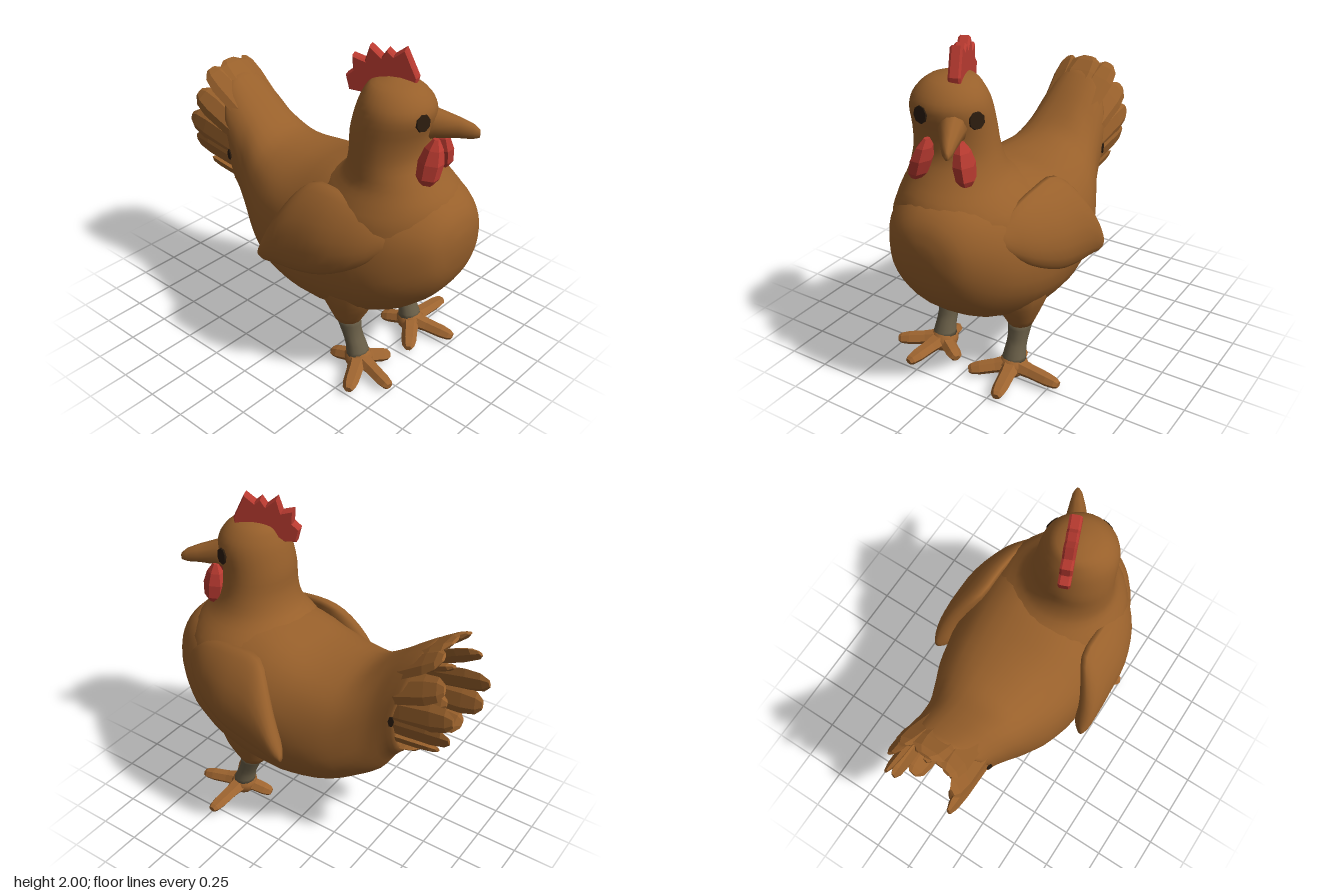
import * as THREE from 'three';

const mat = (name, color) => Object.assign(new THREE.MeshStandardMaterial({ color }), { name });
const V = (x, y, z) => new THREE.Vector3(x, y, z);
const pow = (v, e) => Math.sign(v) * Math.abs(v) ** e;

// Catmull-Rom resampling of a list of number tuples
function smooth(st, steps) {
  const out = [], at = i => st[Math.max(0, Math.min(st.length - 1, i))];
  for (let i = 0; i < st.length - 1; i++) {
    for (let s = 0; s < steps; s++) {
      const t = s / steps;
      out.push(st[i].map((b, k) => {
        const a = at(i - 1)[k], c = at(i + 1)[k], d = at(i + 2)[k];
        return b + 0.5 * t * (c - a + t * (2 * a - 5 * b + 4 * c - d + t * (3 * (b - c) + d - a)));
      }));
    }
  }
  out.push(st[st.length - 1]);
  return out;
}

// Closed skin through rings of points, capped at both ends and wound outwards
function loft(rings, flat = false) {
  const n = rings[0].length, pts = rings.flat(), idx = [];
  for (let r = 0; r < rings.length - 1; r++) {
    for (let i = 0; i < n; i++) {
      const a = r * n + i, b = r * n + (i + 1) % n;
      idx.push(a, b, a + n, b, b + n, a + n);
    }
  }
  [0, rings.length - 1].forEach((r, end) => {
    const c = rings[r].reduce((s, p) => s.add(p), V(0, 0, 0)).divideScalar(n);
    const ci = pts.push(c) - 1;
    for (let i = 0; i < n; i++) {
      const a = r * n + i, b = r * n + (i + 1) % n;
      if (end) idx.push(ci, a, b); else idx.push(ci, b, a);
    }
  });
  let vol = 0;
  for (let i = 0; i < idx.length; i += 3) {
    vol += pts[idx[i]].dot(pts[idx[i + 1]].clone().cross(pts[idx[i + 2]]));
  }
  if (vol < 0) idx.reverse();
  let g = new THREE.BufferGeometry().setFromPoints(pts);
  g.setIndex(idx);
  if (flat) g = g.toNonIndexed();
  g.computeVertexNormals();
  return g;
}

// Ring of n points from a function of cosine, sine and angle
const ring = (n, f) => Array.from({ length: n }, (_, i) => {
  const a = i / n * Math.PI * 2;
  return f(Math.cos(a), Math.sin(a), a);
});

// Flat tapered blade between two points; "wide" is its broad direction
function blade(base, tip, wide, width, thick, profile) {
  const dir = tip.clone().sub(base).normalize();
  const w = wide.clone().addScaledVector(dir, -wide.dot(dir)).normalize();
  const nrm = dir.clone().cross(w);
  return loft(profile.map(([u, k]) => ring(6, (c, s) => base.clone().lerp(tip, u)
    .addScaledVector(w, c * width * k).addScaledVector(nrm, s * thick * k))), true);
}

export function createModel() {
  const plumage = mat('plumage brown', 0x98602b);
  const skin = mat('foot orange brown', 0x9f6530);
  const shank = mat('leg grey', 0x6a5f48);
  const red = mat('comb red', 0xb83a30);
  const dark = mat('eye dark', 0x2b1c0e);
  const model = new THREE.Group();
  const add = (name, geo, m, parent = model) => {
    const mesh = new THREE.Mesh(geo, m);
    mesh.name = name;
    parent.add(mesh);
    return mesh;
  };

  // Body and hollow tail root: z, bottom, top, half width, backward slant of the upper half
  const body = smooth([[0.972, 0.92, 1.02, 0.06, 0], [0.94, 0.76, 1.13, 0.2, 0], [0.85, 0.61, 1.22, 0.31, 0],
    [0.7, 0.48, 1.27, 0.41, 0], [0.5, 0.385, 1.3, 0.47, 0], [0.25, 0.325, 1.28, 0.485, 0], [0, 0.32, 1.215, 0.46, 0],
    [-0.2, 0.36, 1.2, 0.41, 0], [-0.34, 0.43, 1.225, 0.345, 0.01], [-0.46, 0.51, 1.32, 0.28, 0.03],
    [-0.55, 0.65, 1.415, 0.25, 0.06], [-0.62, 0.73, 1.49, 0.23, 0.1], [-0.6, 0.79, 1.44, 0.19, 0.1],
    [-0.52, 0.87, 1.3, 0.12, 0.04]], 3);
  add('body', loft(body.map(([z, b, t, w, slant]) => ring(32, (c, s, a) => {
    const lump = 1 + 0.008 * Math.sin(a * 7 + z * 9) * Math.sin(z * 17);
    return V(pow(c, 0.88) * w * lump, (b + t) / 2 + pow(s, 0.92) * (t - b) / 2 * lump, z - slant * Math.max(0, s));
  }))), plumage);

  // Neck and head: y, centre x, centre z, half width, half depth
  const neck = smooth([[0.92, 0, 0.46, 0.46, 0.45], [1.1, -0.01, 0.48, 0.42, 0.425], [1.2, -0.025, 0.5, 0.36, 0.375],
    [1.3, -0.05, 0.525, 0.285, 0.275], [1.42, -0.07, 0.515, 0.252, 0.215], [1.55, -0.08, 0.52, 0.237, 0.212],
    [1.68, -0.08, 0.55, 0.224, 0.215], [1.76, -0.08, 0.55, 0.19, 0.185], [1.82, -0.08, 0.535, 0.125, 0.13],
    [1.845, -0.08, 0.53, 0.03, 0.03]], 3);
  add('neckAndHead', loft(neck.map(([y, x, z, rx, rz]) =>
    ring(28, (c, s) => V(x + c * rx, y, z + s * rz)))), plumage);

  // Eyes: thin plates resting on the head
  for (const [name, deg, y] of [['leftEye', 68, 1.645], ['rightEye', -11, 1.67]]) {
    const a = deg * Math.PI / 180, n = V(Math.sin(a), 0.12, Math.cos(a)).normalize();
    const eye = add(name, new THREE.CylinderGeometry(0.047, 0.05, 0.009, 8), dark);
    eye.position.set(-0.08 + 0.229 * Math.sin(a), y, 0.543 + 0.215 * Math.cos(a)).addScaledVector(n, 0.006);
    eye.quaternion.setFromUnitVectors(V(0, 1, 0), n);
  }

  // Face parts sit in a frame turned towards the model's left
  const face = new THREE.Group();
  face.name = 'face';
  face.position.set(-0.08, 0, 0.55);
  face.rotation.y = 0.38;
  model.add(face);

  // Beak: z, bottom, top, half width, centre x
  const beak = [[0.12, 1.49, 1.74, 0.1, 0.04], [0.21, 1.52, 1.685, 0.068, 0.05], [0.33, 1.53, 1.645, 0.045, 0.065],
    [0.4, 1.53, 1.615, 0.03, 0.075], [0.435, 1.54, 1.585, 0.012, 0.08]];
  add('beak', loft(beak.map(([z, b, t, w, x]) =>
    ring(10, (c, s) => V(x + c * w, (b + t) / 2 + s * (t - b) / 2, z)))), plumage, face);

  // Comb: serrated plate
  const comb = new THREE.Shape([[0.09, 1.78], [0.1, 1.85], [0.03, 2.0], [-0.03, 1.955], [-0.065, 1.985],
    [-0.095, 1.94], [-0.16, 1.995], [-0.185, 1.91], [-0.255, 1.93], [-0.25, 1.85], [-0.29, 1.815],
    [-0.27, 1.735], [-0.2, 1.73], [-0.12, 1.78]].map(p => new THREE.Vector2(...p)));
  const combGeo = new THREE.ExtrudeGeometry(comb, { depth: 0.045, bevelEnabled: true, bevelThickness: 0.012,
    bevelSize: 0.008, bevelOffset: -0.006, bevelSegments: 1 });
  combGeo.translate(0, 0, -0.0225).rotateY(-Math.PI / 2).translate(0.045, 0, 0);
  add('comb', combGeo, red, face);

  // Wattles: y, half width, half depth
  const lobe = [[1.315, 0.028, 0.042], [1.35, 0.052, 0.068], [1.43, 0.058, 0.075], [1.5, 0.042, 0.055], [1.55, 0.015, 0.02]];
  for (const [name, x, z, lean, lift] of [['leftWattle', 0.115, 0.715, -0.14, 0], ['rightWattle', -0.1, 0.8, 0.3, 0.02]]) {
    add(name, loft(lobe.map(([y, w, d]) => ring(6, (c, s) =>
      V(x + c * w + (y - 1.41) * lean, y + lift, z + s * d))), true), red);
  }

  // Wings: z, bottom, top, centre x, half thickness
  const wing = smooth([[0.74, 1.0, 1.08, 0.38, 0.02], [0.6, 0.87, 1.18, 0.445, 0.055], [0.4, 0.76, 1.23, 0.49, 0.075],
    [0.2, 0.7, 1.22, 0.495, 0.08], [0.08, 0.69, 1.07, 0.505, 0.068], [-0.02, 0.68, 0.86, 0.515, 0.05],
    [-0.065, 0.7, 0.75, 0.53, 0.015]], 3);
  for (const side of [1, -1]) {
    const label = side > 0 ? 'left' : 'right';
    add(label + 'Wing', loft(wing.map(([z, b, t, x, w]) => ring(18, (c, s) => {
      const y = (b + t) / 2 + s * (t - b) / 2;
      return V(side * (x + c * w - 0.75 * Math.max(0, y - 0.8) ** 2), y, z);
    }))), plumage);
  }

  // Tail: fan of stiff feathers around the hollow; base x, y, tip x, y, z, half width
  const fan = [[0, 1.25, 0, 1.545, -0.84, 0.13], [0.1, 1.22, 0.14, 1.52, -0.85, 0.085], [0.18, 1.16, 0.2, 1.37, -0.9, 0.085],
    [0.2, 1.08, 0.21, 1.19, -0.97, 0.085], [0.2, 0.98, 0.195, 1.04, -0.95, 0.085], [0.15, 0.86, 0.14, 0.9, -0.86, 0.085],
    [0.06, 0.76, 0.06, 0.8, -0.72, 0.09], [0.08, 1.16, 0.1, 1.3, -0.8, 0.06], [0.08, 1.0, 0.09, 1.04, -0.78, 0.06]];
  const tail = new THREE.Group();
  tail.name = 'tail';
  model.add(tail);
  for (const [bx, by, tx, ty, tz, w] of fan) {
    for (const side of bx ? [1, -1] : [1]) {
      const wide = V(by - 1.04, -side * bx, 0);
      add('tailFeather', blade(V(side * bx, by, -0.44), V(side * tx, ty, tz), wide, w, 0.028,
        [[0, 0.7], [0.4, 0.95], [0.75, 1], [0.92, 0.8], [1, 0.35]]), plumage, tail);
    }
  }
  // Small dark gaps between the outer feathers
  for (const side of [1, -1]) {
    const gap = add('featherGap', new THREE.CylinderGeometry(0.03, 0.03, 0.009, 6), dark, tail);
    gap.scale.x = 0.6;
    gap.position.set(side * 0.238, 1.05, -0.61);
    gap.rotation.set(0, side * 0.25, Math.PI / 2);
    gap.scale.set(1.2, 1, 0.6);
  }

  // Legs: y, centre x, centre z, half width, half depth
  const column = (side, rows) => loft(smooth(rows, 2).map(([y, x, z, w, d]) =>
    ring(12, (c, s) => V(side * (x + c * w), y, z + s * d))));
  const toes = {
    left: [[0.565, 0.05, 0.48], [0.31, 0.04, 0.75], [0.035, 0.04, 0.62], [0.2, 0.03, 0.28]],
    right: [[-0.5, 0.05, 0.6], [-0.31, 0.04, 0.75], [-0.085, 0.04, 0.57], [-0.28, 0.03, 0.28]],
  };
  for (const [label, side] of [['left', 1], ['right', -1]]) {
    add(label + 'Thigh', column(side, [[0.7, 0.24, 0.37, 0.19, 0.24], [0.55, 0.25, 0.38, 0.165, 0.2],
      [0.43, 0.255, 0.385, 0.118, 0.14], [0.32, 0.25, 0.378, 0.073, 0.08]]), plumage);
    add(label + 'Shank', column(side, [[0.345, 0.25, 0.378, 0.074, 0.08], [0.24, 0.25, 0.41, 0.062, 0.06],
      [0.17, 0.25, 0.44, 0.064, 0.06], [0.1, 0.25, 0.46, 0.075, 0.07]]), shank);
    add(label + 'Foot', column(side, [[0.135, 0.25, 0.455, 0.05, 0.05], [0.09, 0.25, 0.465, 0.085, 0.085],
      [0.04, 0.25, 0.47, 0.08, 0.08], [0.005, 0.25, 0.47, 0.05, 0.05]]), skin);
    for (const tip of toes[label]) {
      const end = V(...tip), base = V(side * 0.25, 0.075, 0.47);
      const wide = V(0, 1, 0).cross(end.clone().sub(base));
      add(label + 'Toe', blade(base, end, wide, 0.046, 0.038,
        [[0, 1.4], [0.4, 1.05], [0.75, 1], [0.93, 0.8], [1, 0.5]]), skin);
    }
  }
  return model;
}
